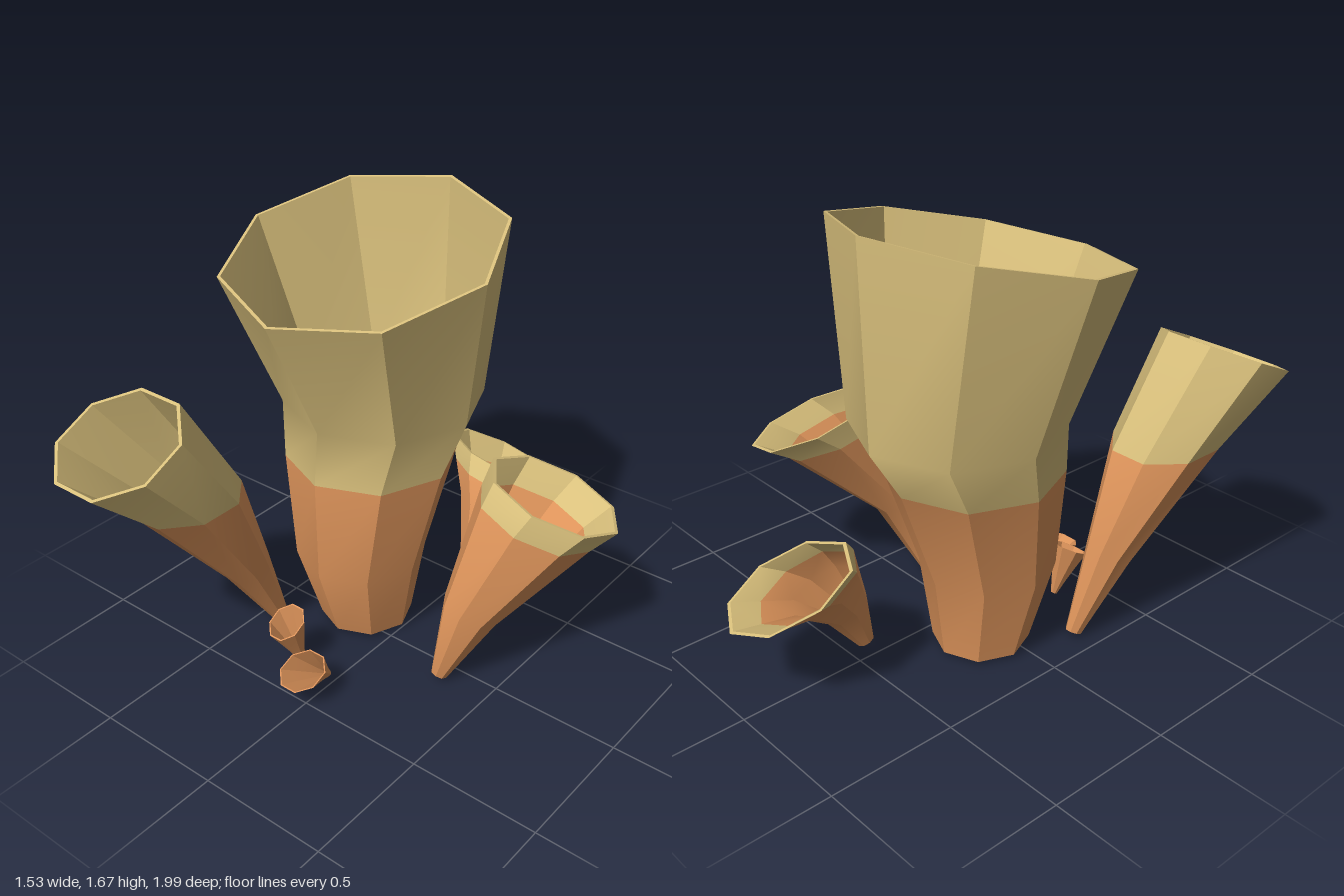
import * as THREE from 'three';

const SIDES = 8;

// Hollow eight-sided tube. Each ring is [x, y, z, radius, optional depth radius], from base to mouth.
// tilt is the slope of the ring planes along x and z; isFlat picks level rings;
// tipFrom is the ring where the pale tip starts.
function makeTube(name, materials, rings, { phase, tilt, tipFrom, wall = 0.012, isFlat = () => false }) {
  const positions = [];
  const faces = [[], []];
  const last = rings.length - 1;

  const addPoint = (i, angle, inset) => {
    const [x, y, z, rx, rz = rx] = rings[i];
    const dx = Math.cos(angle) * Math.max(rx - inset, rx * 0.6);
    const dz = Math.sin(angle) * Math.max(rz - inset, rz * 0.6);
    const rise = isFlat(i) ? 0 : tilt[0] * dx + tilt[1] * dz;
    positions.push(x + dx, y + rise, z + dz);
  };

  // Each band is a list of [ring, inset]: outer wall, lip, inner wall, base edge
  const outer = rings.map((_, i) => [i, 0]);
  const inner = rings.map((_, i) => [last - i, wall]);
  const bands = [outer, [outer[last], inner[0]], inner, [inner[last], outer[0]]];

  // Vertices are shared along a side but not between sides, so the long edges stay sharp
  for (let s = 0; s < SIDES; s++) {
    const a = phase + (s / SIDES) * Math.PI * 2;
    const b = a + (Math.PI * 2) / SIDES;
    for (const band of bands) {
      const start = positions.length / 3;
      for (const [i, inset] of band) {
        addPoint(i, a, inset);
        addPoint(i, b, inset);
      }
      for (let k = 0; k < band.length - 1; k++) {
        const v = start + k * 2;
        const isTip = Math.min(band[k][0], band[k + 1][0]) >= tipFrom;
        faces[isTip ? 1 : 0].push(v, v + 2, v + 1, v + 1, v + 2, v + 3);
      }
    }
  }

  const geometry = new THREE.BufferGeometry();
  geometry.setAttribute('position', new THREE.Float32BufferAttribute(positions, 3));
  geometry.setIndex([...faces[0], ...faces[1]]);
  geometry.addGroup(0, faces[0].length, 0);
  geometry.addGroup(faces[0].length, faces[1].length, 1);
  geometry.computeVertexNormals();
  const mesh = new THREE.Mesh(geometry, materials);
  mesh.name = name;
  return mesh;
}

// Small all-orange bud flaring evenly from a pointed base to its mouth
function makeBud(name, materials, base, mouth, radius, slope) {
  const rings = [0, 1 / 3, 2 / 3, 1].map(t => [
    ...base.map((v, k) => THREE.MathUtils.lerp(v, mouth[k], t)),
    THREE.MathUtils.lerp(0.012, radius, t ** 1.1),
  ]);
  return makeTube(name, materials, rings, {
    phase: Math.PI / 8, tilt: [0, slope], tipFrom: rings.length, wall: 0.005,
  });
}

export function createModel() {
  const orange = new THREE.MeshStandardMaterial({ color: 0xdc935a });
  orange.name = 'orange base';
  const tan = new THREE.MeshStandardMaterial({ color: 0xd9c07c });
  tan.name = 'pale tan tip';
  const colours = [orange, tan];

  const group = new THREE.Group();
  group.name = 'tubeCluster';

  // Tall central tube with a slanted mouth
  group.add(makeTube('mainTube', colours, [
    [-0.18, 0.02, -0.07, 0.18],
    [-0.18, 0.33, -0.04, 0.25],
    [-0.18, 0.735, -0.11, 0.325],
    [-0.18, 0.94, -0.185, 0.378],
    [-0.18, 1.557, -0.08, 0.515, 0.505],
  ], { phase: 0, tilt: [0, -0.243], tipFrom: 2, isFlat: i => i < 4 }));

  // Tube leaning forward
  group.add(makeTube('frontTube', colours, [
    [-0.41, 0.03, 0.19, 0.03],
    [-0.445, 0.33, 0.32, 0.085],
    [-0.485, 0.735, 0.555, 0.19, 0.22],
    [-0.535, 1.045, 0.79, 0.245, 0.222],
  ], { phase: Math.PI / 8, tilt: [0, -0.463], tipFrom: 2, isFlat: i => i === 2 }));

  // Tube leaning to the left
  group.add(makeTube('leftTube', colours, [
    [0.298, 0.03, 0.085, 0.03],
    [0.383, 0.33, 0.02, 0.1],
    [0.497, 0.66, -0.2, 0.21],
    [0.527, 0.73, -0.28, 0.242],
  ], { phase: -0.21, tilt: [-0.33, 0.28], tipFrom: 2 }));

  // Tube bending backward
  group.add(makeTube('backTube', colours, [
    [0.06, 0.03, -0.425, 0.03],
    [0.065, 0.2, -0.5, 0.078],
    [0.055, 0.325, -0.6, 0.132],
    [0.02, 0.4, -0.7, 0.185],
    [0, 0.447, -0.785, 0.245, 0.217],
  ], { phase: 0.18, tilt: [-0.26, 0.47], tipFrom: 3 }));

  // Two young buds at the front
  group.add(
    makeBud('uprightBud', colours, [-0.17, 0.02, 0.33], [-0.19, 0.215, 0.385], 0.07, -0.55),
    makeBud('leaningBud', colours, [-0.04, 0.01, 0.33], [-0.02, 0.14, 0.49], 0.088, -0.38),
  );
  return group;
}
